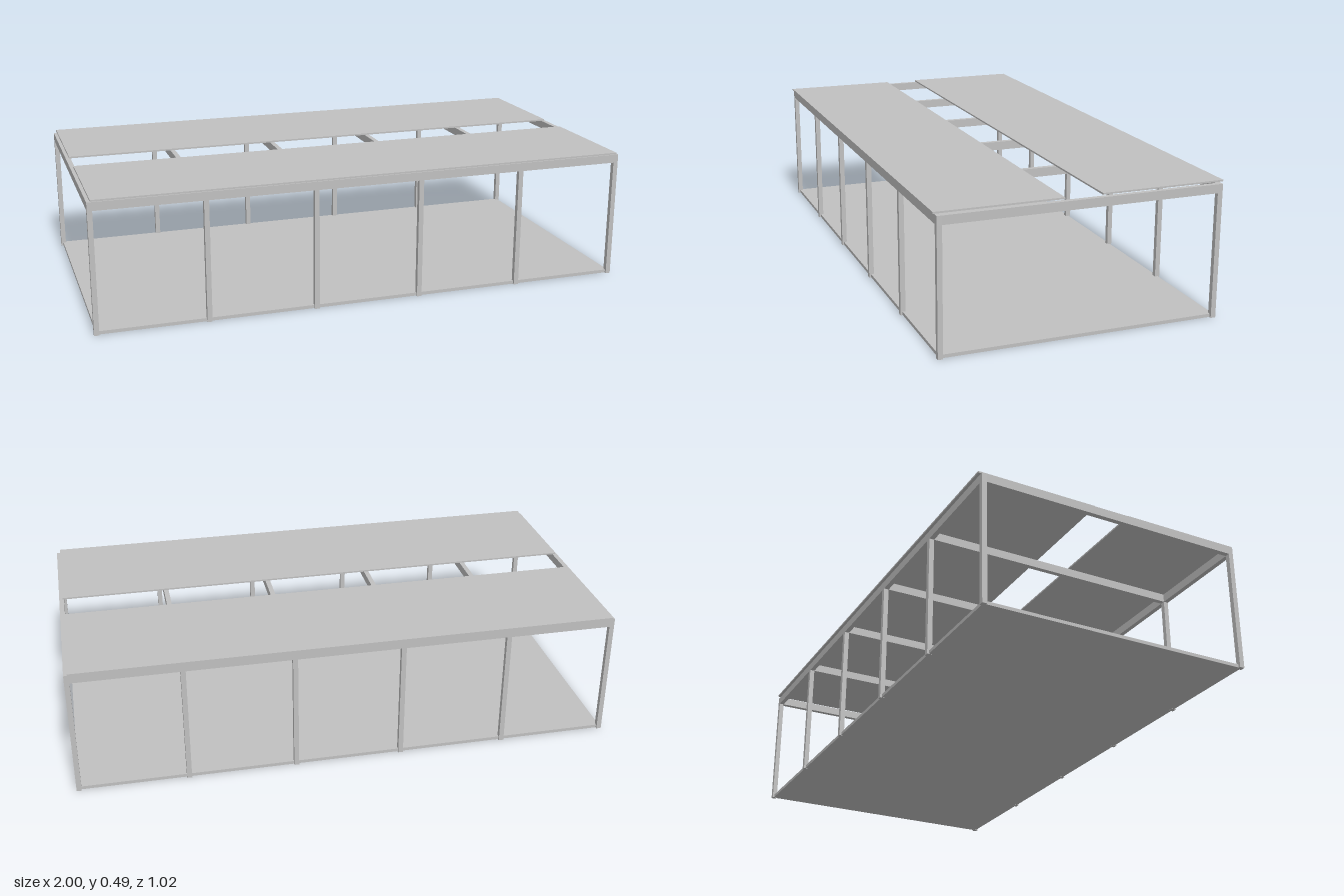
import * as THREE from 'three';

export function createModel() {
  const group = new THREE.Group();
  const metal = new THREE.MeshStandardMaterial({ color: 0xc0c0c0 });
  metal.name = 'light grey metal';

  // Box given by its lower and upper corner
  function box(name, x0, x1, y0, y1, z0, z1) {
    const mesh = new THREE.Mesh(new THREE.BoxGeometry(x1 - x0, y1 - y0, z1 - z0), metal);
    mesh.position.set((x0 + x1) / 2, (y0 + y1) / 2, (z0 + z1) / 2);
    mesh.name = name;
    group.add(mesh);
  }

  const beamLow = 0.447, beamTop = 0.478;
  const half = 0.009; // half the width of a post
  const outer = 0.504, inner = 0.486;

  // Floor slab
  box('floor', -0.992, 0.992, 0.001, 0.013, -0.497, 0.497);

  // Six frames: a post on each side and a cross beam between them
  for (let i = 0; i < 6; i++) {
    const x = -0.991 + i * (1.982 / 5);
    box('frontPost', x - half, x + half, 0, beamLow, inner, outer);
    box('backPost', x - half, x + half, 0, beamLow, -outer, -inner);
    box('crossBeam', x - half, x + half, beamLow, beamTop, -inner, inner);
  }

  // Long beams along the front and back
  box('frontBeam', -1, 1, beamLow, beamTop, inner, outer);
  box('backBeam', -1, 1, beamLow, beamTop, -outer, -inner);

  // Two roof panels with an open strip between them
  box('frontRoofPanel', -0.989, 0.987, 0.482, 0.488, 0.067, 0.512);
  box('backRoofPanel', -0.989, 0.987, 0.482, 0.488, -0.512, -0.067);

  return group;
}
